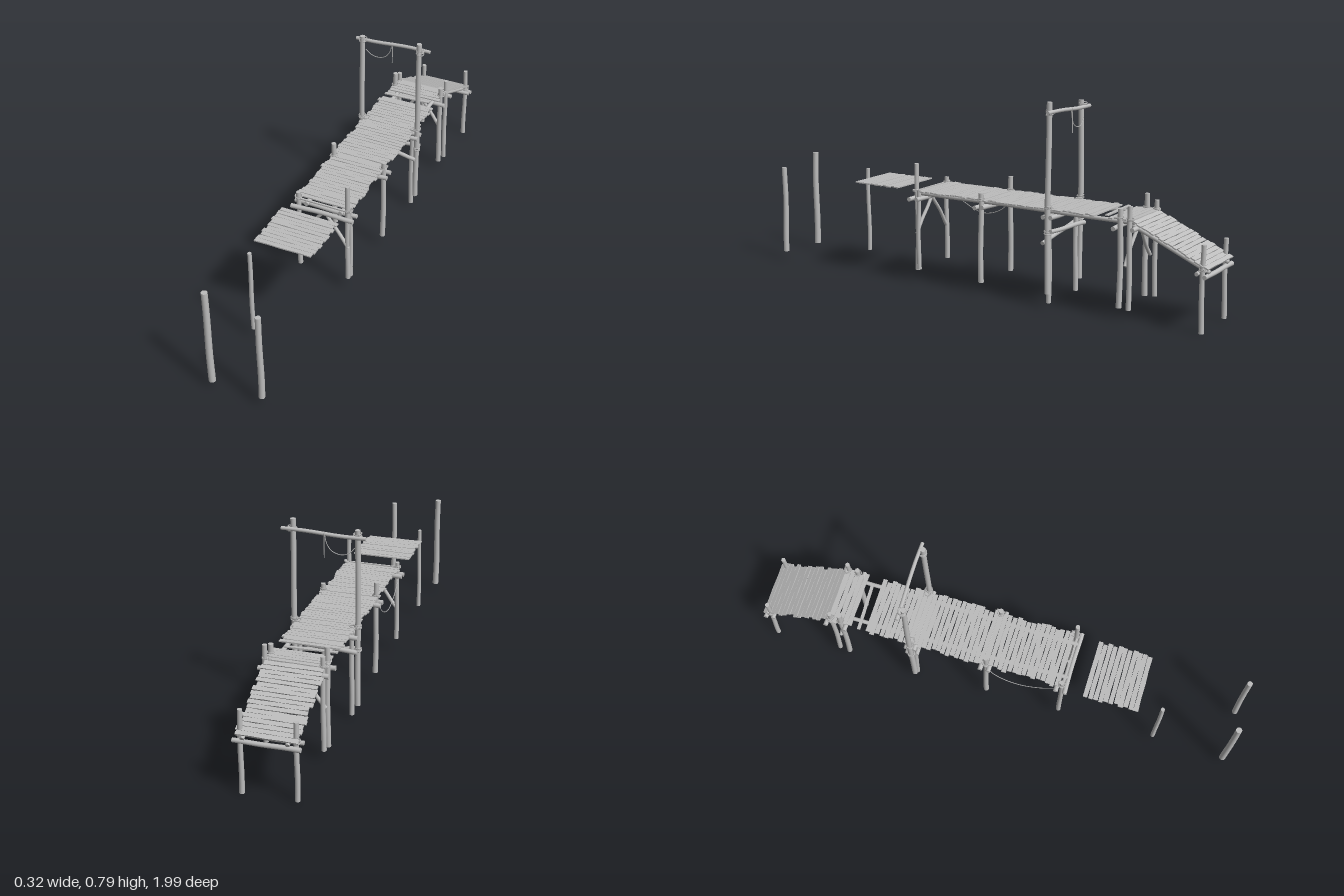
import * as THREE from 'three';

export function createModel() {
  const root = new THREE.Group();
  root.name = 'brokenPier';
  const wood = new THREE.MeshStandardMaterial({ color: 0xbdbdbd });
  wood.name = 'weatheredGrey';

  let seed = 11;
  const rand = () => ((seed = (seed * 16807) % 2147483647) / 2147483647);
  const jit = (a) => (rand() * 2 - 1) * a;
  const V = (x, y, z) => new THREE.Vector3(x, y, z);
  const UP = V(0, 1, 0);

  function add(name, geo, parent = root) {
    const m = new THREE.Mesh(geo, wood);
    m.name = name;
    parent.add(m);
    return m;
  }

  // Slightly crooked, tapering log from a to b
  function log(name, a, b, r, taper = 0.9, bend = 0.0015) {
    const dir = b.clone().sub(a), len = dir.length();
    const geo = new THREE.CylinderGeometry(r * taper, r, len, 12, 8);
    const p = geo.attributes.position, ph = rand() * 6.28;
    for (let i = 0; i < p.count; i++) {
      const t = p.getY(i) / len + 0.5;
      p.setX(i, p.getX(i) + bend * Math.sin(t * 7 + ph));
      p.setZ(i, p.getZ(i) + bend * Math.cos(t * 5 + ph));
    }
    const m = add(name, geo);
    m.position.copy(a).add(b).multiplyScalar(0.5);
    m.quaternion.setFromUnitVectors(UP, dir.normalize());
    return m;
  }

  // Rope lashing: a few stacked turns around a post
  function lashing(x, y, z, r, turns = 3) {
    for (let i = 0; i < turns; i++) {
      const m = add('lashing', new THREE.TorusGeometry(r, 0.0022, 5, 14));
      m.position.set(x, y + (i - (turns - 1) / 2) * 0.0045, z);
      m.rotation.set(Math.PI / 2 + jit(0.2), jit(0.2), 0);
    }
  }

  function rope(name, pts, r = 0.0016) {
    add(name, new THREE.TubeGeometry(new THREE.CatmullRomCurve3(pts), 24, r, 5));
  }

  // Row of uneven planks from (z0, y0) to (z1, y1)
  function planks(name, z0, y0, z1, y1, xMin, xMax, skip = () => false) {
    const g = new THREE.Group();
    g.name = name;
    root.add(g);
    const len = Math.hypot(z1 - z0, y1 - y0), n = Math.round(len / 0.0195);
    const tilt = Math.atan2(y1 - y0, z0 - z1);
    for (let i = 0; i < n; i++) {
      const t = (i + 0.5) / n, z = z0 + (z1 - z0) * t;
      const l = xMin + jit(0.007), r = xMax + jit(0.007);
      const w = len / n - 0.0008 - rand() * 0.0022;
      const turn = jit(0.012), lift = jit(0.0008);
      if (skip(z)) continue;
      const geo = new THREE.BoxGeometry(r - l, 0.005, w, 4, 1, 1);
      const p = geo.attributes.position;
      for (let k = 0; k < p.count; k++) { // wavy sawn edges
        const s = Math.sin(p.getX(k) * 55 + i * 2.3 + Math.sign(p.getZ(k)));
        p.setZ(k, p.getZ(k) + 0.001 * s);
      }
      geo.computeVertexNormals();
      const m = add('plank', geo, g);
      m.position.set((l + r) / 2, y0 + (y1 - y0) * t + lift, z);
      m.rotation.set(tilt, turn, 0);
    }
  }

  // Posts: x, z, bottom, top, radius
  const posts = [
    [-0.105, 0.985, 0.03, 0.44, 0.0135], [0.1, 0.985, 0.035, 0.405, 0.012],
    [-0.1, 0.685, 0.04, 0.4, 0.009],
    [-0.108, 0.28, 0.06, 0.405, 0.01], [0.1, 0.28, 0.055, 0.493, 0.01],
    [0.108, 0.268, 0.06, 0.39, 0.009],
    [-0.108, -0.033, 0.05, 0.44, 0.011], [0.11, -0.033, 0.05, 0.41, 0.011],
    [-0.128, -0.342, 0.06, 0.77, 0.0115], [0.122, -0.342, 0.055, 0.79, 0.0115],
    [-0.103, -0.338, 0.015, 0.35, 0.01], [0.103, -0.338, 0.015, 0.35, 0.01],
    [-0.106, -0.64, 0.04, 0.44, 0.011], [0.106, -0.64, 0.045, 0.42, 0.011],
    [-0.104, -0.682, 0.045, 0.42, 0.01], [0.114, -0.682, 0.045, 0.435, 0.01],
    [-0.105, -0.966, 0.005, 0.31, 0.01], [0.1, -0.966, 0, 0.327, 0.01],
  ];
  for (const [x, z, y0, y1, r] of posts) log('post', V(x, y0, z), V(x + jit(0.002), y1, z), r);

  // Gate crossbar and its dangling rope
  log('gateCrossbar', V(-0.162, 0.745, -0.36), V(0.16, 0.755, -0.36), 0.0075, 0.95, 0.002);
  for (const x of [-0.128, 0.122]) {
    lashing(x, 0.752, -0.348, 0.0155, 4);
    lashing(x, 0.39, -0.342, 0.0135, 3);
    lashing(x, 0.295, -0.342, 0.0135, 3);
  }
  rope('gateRope', [V(-0.12, 0.705, -0.355), V(-0.1, 0.684, -0.36), V(-0.07, 0.675, -0.362),
    V(-0.035, 0.686, -0.362), V(-0.015, 0.715, -0.364), V(-0.008, 0.757, -0.364)]);
  rope('gateRopeTail', [V(-0.008, 0.757, -0.368), V(-0.007, 0.71, -0.37), V(-0.008, 0.66, -0.37)]);

  // Slack rope on the right side of the deck
  rope('slackRope', [V(-0.118, 0.355, 0.27), V(-0.121, 0.31, 0.21), V(-0.122, 0.277, 0.14),
    V(-0.122, 0.27, 0.1), V(-0.122, 0.28, 0.05), V(-0.12, 0.31, 0), V(-0.118, 0.36, -0.025)]);

  // Crossbeams clamped in front of and behind each trestle
  for (const z of [0.28, -0.033, -0.342, -0.64, -0.682]) {
    for (const s of [-1, 1]) {
      if ((z === -0.64 && s < 0) || (z === -0.682 && s > 0)) continue;
      log('crossbeam', V(-0.132, 0.35 + jit(0.004), z + s * 0.017), V(0.132, 0.352 + jit(0.004), z + s * 0.017), 0.0095, 0.95);
    }
    for (const x of [-0.108, 0.108]) lashing(x, 0.385, z, 0.0135, 2);
  }
  log('lowerCrossbeam', V(-0.13, 0.288, -0.358), V(0.13, 0.3, -0.358), 0.009);
  log('lowerCrossbeam', V(-0.125, 0.29, -0.322), V(0.125, 0.252, -0.322), 0.009);
  log('rampEndBeam', V(-0.125, 0.212, -0.981), V(0.122, 0.212, -0.981), 0.0095);
  log('rampEndBeam', V(-0.125, 0.222, -0.95), V(0.122, 0.222, -0.95), 0.0085);
  for (const x of [-0.105, 0.1]) lashing(x, 0.235, -0.966, 0.0125, 3);

  // Diagonal braces meeting under the deck
  for (const z of [0.28, -0.66])
    for (const s of [-1, 1]) log('brace', V(s * 0.104, 0.205, z), V(s * 0.005, 0.342, z), 0.0075);

  // Stringers under the deck and the ramp
  for (const x of [-0.07, 0.075]) {
    log('deckStringer', V(x, 0.369, 0.295), V(x * 1.1, 0.369, -0.2), 0.009);
    log('deckStringer', V(x * 1.1, 0.369, -0.18), V(x * 1.15, 0.369, -0.69), 0.009);
    log('rampStringer', V(x * 1.15, 0.364, -0.67), V(x * 1.15, 0.226, -0.988), 0.009);
  }

  // Walkway planks
  planks('deckPlanks', 0.272, 0.381, -0.69, 0.381, -0.12, 0.112,
    (z) => (z < -0.538 && z > -0.592));
  planks('rampPlanks', -0.69, 0.378, -0.99, 0.24, -0.116, 0.108);
  planks('detachedPlanks', 0.595, 0.384, 0.372, 0.384, -0.13, 0.106);

  // Loose crooked plank across the gap, and the lone front edge plank
  const loose = add('loosePlank', new THREE.BoxGeometry(0.2, 0.005, 0.013));
  loose.position.set(-0.02, 0.381, -0.564);
  loose.rotation.y = 0.04;
  const edge = add('edgePlank', new THREE.BoxGeometry(0.225, 0.005, 0.008));
  edge.position.set(0, 0.381, 0.286);

  return root;
}
